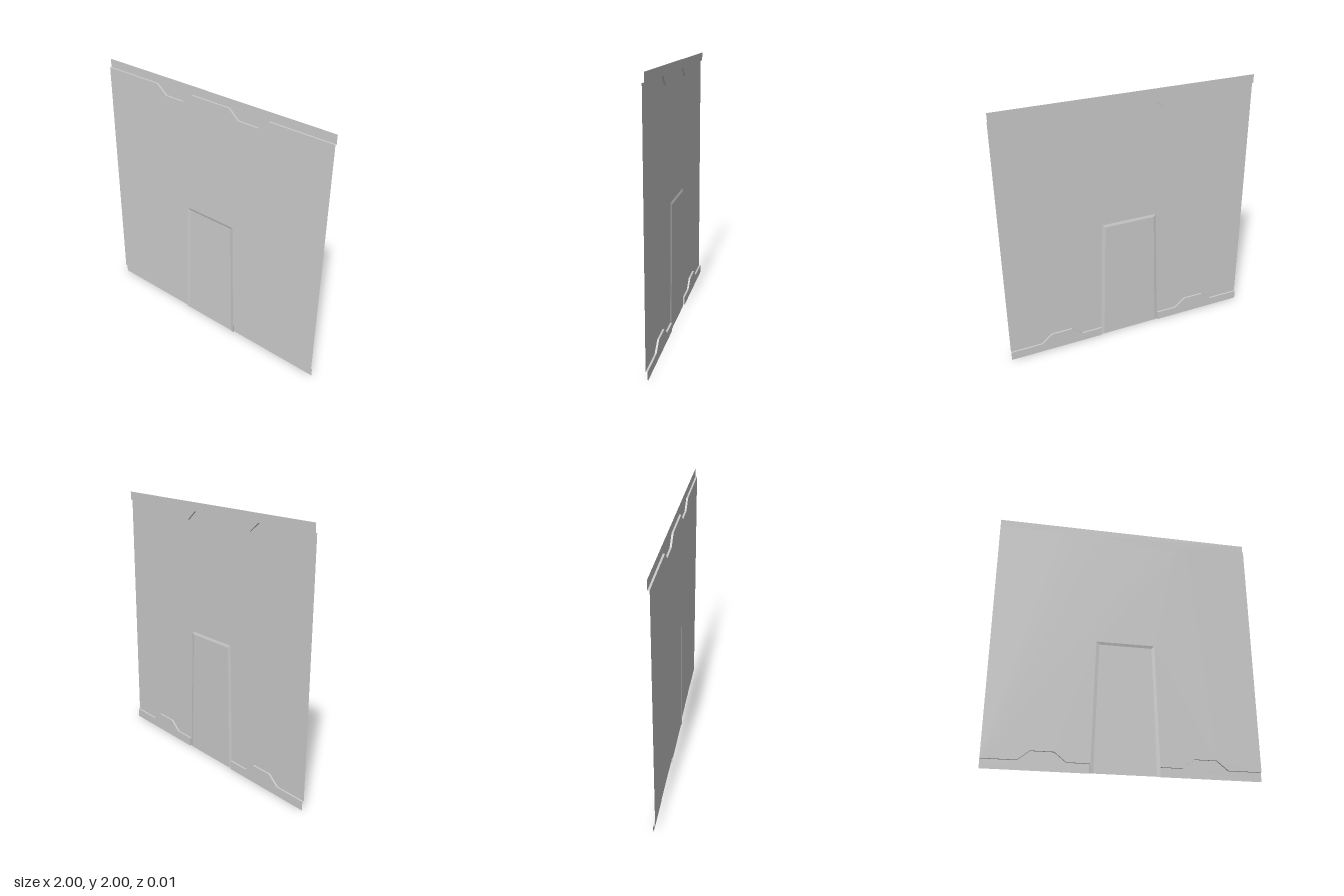
import * as THREE from 'three';

const FRONT = 0.007, BACK = -0.007, DOOR = 0.001; // depths of the three sheets

const material = new THREE.MeshStandardMaterial({ color: 0xcccccc, flatShading: true, side: THREE.DoubleSide });

// Flat sheet from an outline of [x, y] points
function sheet(name, points, z) {
  const geometry = new THREE.ShapeGeometry(new THREE.Shape(points.map(([x, y]) => new THREE.Vector2(x, y))));
  geometry.translate(0, 0, z);
  const mesh = new THREE.Mesh(geometry, material);
  mesh.name = name;
  return mesh;
}

// Ribbon of quads joining two paths of equal length at different depths
function ribbon(name, pathA, zA, pathB, zB) {
  const positions = [], index = [];
  pathA.forEach(([x, y], i) => {
    positions.push(x, y, zA, pathB[i][0], pathB[i][1], zB);
    if (i) {
      const k = 2 * i;
      index.push(k - 2, k - 1, k, k - 1, k + 1, k);
    }
  });
  let geometry = new THREE.BufferGeometry();
  geometry.setAttribute('position', new THREE.Float32BufferAttribute(positions, 3));
  geometry.setIndex(index);
  geometry = geometry.toNonIndexed();
  geometry.computeVertexNormals();
  const mesh = new THREE.Mesh(geometry, material);
  mesh.name = name;
  return mesh;
}

// Same path on the other side, running in the opposite direction
const mirror = (path) => path.map(([x, y]) => [-x, y]).reverse();

export function createModel() {
  const group = new THREE.Group();
  group.name = 'wallPanel';

  // Stepped edges of the wall, left half of the picture to the right half
  const topHalf = [[-1, 1.935], [-0.5, 1.935], [-0.415, 1.865], [-0.25, 1.865], [-0.167, 1.935]];
  const topEdge = [...topHalf, ...mirror(topHalf)];
  const baseEdge = [[-1, 0.068], [-0.75, 0.068], [-0.667, 0.137], [-0.5, 0.137],
    [-0.415, 0.068], [-0.25, 0.068], [-0.25, 0]];

  // Doorway outline, and the door sheet inside its bevel
  const doorOuter = [[-0.25, 0], [-0.222, 1], [0.222, 1], [0.25, 0]];
  const doorInner = [[-0.226, 0], [-0.2, 0.98], [0.2, 0.98], [0.226, 0]];

  // Main wall, wrapping round the doorway
  group.add(sheet('wall', [...baseEdge, ...doorOuter.slice(1, 3), ...mirror(baseEdge), ...topEdge.slice().reverse()], FRONT));

  // Recessed door and its bevelled surround
  group.add(sheet('door', doorInner, DOOR));
  group.add(ribbon('doorBevel', doorOuter, FRONT, doorInner, DOOR));

  // Top strip set back from the wall, with its ledge
  group.add(sheet('topStrip', [...topEdge, [1, 2], [-1, 2]], BACK));
  group.add(ribbon('topLedge', topEdge, FRONT, topEdge, BACK));

  // Base strips on both sides of the door
  for (const [side, edge, corner] of [['right', baseEdge, [-1, 0]], ['left', mirror(baseEdge), [1, 0]]]) {
    group.add(sheet(side + 'BaseStrip', [...edge, corner], BACK));
    group.add(ribbon(side + 'BaseLedge', edge, FRONT, edge, BACK));
  }
  return group;
}
